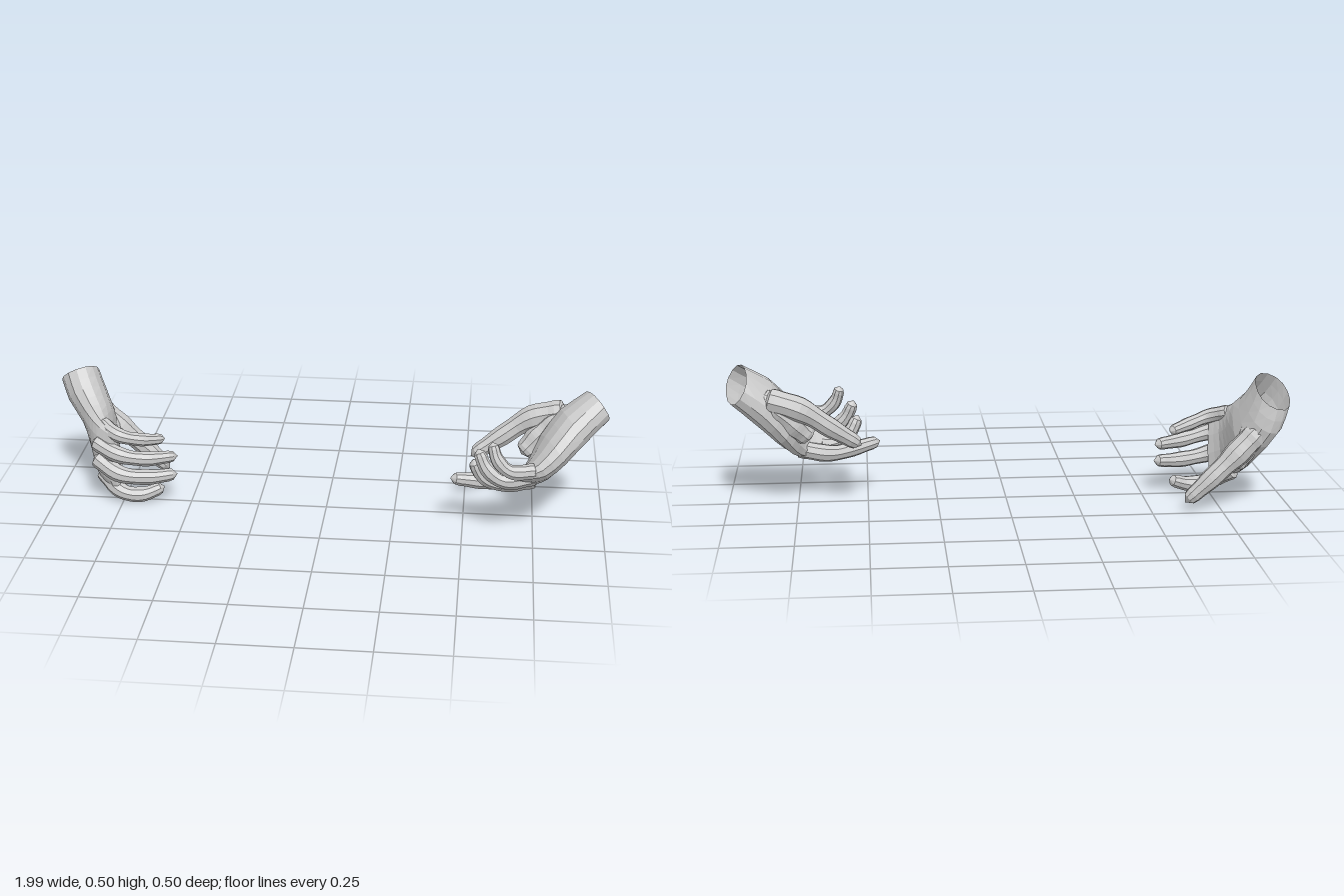
import * as THREE from 'three';

const V = (p) => new THREE.Vector3(...p);
const material = new THREE.MeshStandardMaterial({
  color: 0xcccccc, flatShading: true, side: THREE.DoubleSide,
});

// Skin a list of rings { c, u, v }: centre plus two half-axes, in order along the limb.
function loft(name, rings, sides, power = 1) {
  const pos = [], index = [];
  const bend = (k) => Math.sign(k) * Math.abs(k) ** power;
  for (const { c, u, v } of rings) {
    for (let j = 0; j < sides; j++) {
      const a = (j / sides) * Math.PI * 2;
      const p = c.clone().addScaledVector(u, bend(Math.cos(a))).addScaledVector(v, bend(Math.sin(a)));
      pos.push(p.x, p.y, p.z);
    }
  }
  for (let i = 0; i < rings.length - 1; i++) {
    for (let j = 0; j < sides; j++) {
      const a = i * sides + j, b = i * sides + (j + 1) % sides;
      index.push(a, b, b + sides, a, b + sides, a + sides);
    }
  }
  const g = new THREE.BufferGeometry();
  g.setAttribute('position', new THREE.Float32BufferAttribute(pos, 3));
  g.setIndex(index);
  g.computeVertexNormals();
  const mesh = new THREE.Mesh(g, material);
  mesh.name = name;
  return mesh;
}

// Piecewise-linear value of a list at t in 0..1
function sample(list, t) {
  const s = t * (list.length - 1), k = Math.min(Math.floor(s), list.length - 2);
  return THREE.MathUtils.lerp(list[k], list[k + 1], s - k);
}

// Tapered digit through its joints, swelling slightly at each, with rounded ends.
function digit(name, joints, radii) {
  const curve = new THREE.CatmullRomCurve3(joints.map(V));
  const steps = 18;
  const frames = curve.computeFrenetFrames(steps);
  const rings = [];
  for (let i = 0; i <= steps; i++) {
    const t = i / steps;
    const e = Math.max(0, (t - 0.87) / 0.13, (0.1 - t) / 0.1);
    const r = sample(radii, t) * (1 + 0.05 * Math.cos(t * Math.PI * 6)) * Math.sqrt(Math.max(0, 1 - e * e));
    rings.push({
      c: curve.getPointAt(t),
      u: frames.normals[i].clone().multiplyScalar(r),
      v: frames.binormals[i].clone().multiplyScalar(r),
    });
  }
  return loft(name, rings, 9);
}

// Wrist and palm between the little-finger edge and the thumb edge, open at the wrist.
function palm(outer, inner, thickness, facing) {
  const a = new THREE.CatmullRomCurve3(outer.map(V));
  const b = new THREE.CatmullRomCurve3(inner.map(V));
  const rings = [], steps = 10;
  for (let i = 0; i <= steps; i++) {
    const t = i / steps, P = a.getPoint(t), Q = b.getPoint(t);
    const c = P.clone().add(Q).multiplyScalar(0.5);
    const u = P.clone().sub(Q).multiplyScalar(0.5);
    const v = V(facing).projectOnPlane(u.clone().normalize()).setLength(sample(thickness, t));
    rings.push({ c, u, v });
  }
  // Turn the sections so that the skin faces outward
  const along = rings[steps].c.clone().sub(rings[0].c);
  if (rings[0].u.clone().cross(rings[0].v).dot(along) < 0) rings.forEach((r) => r.v.negate());
  // Close the knuckle end
  const last = rings[steps];
  const tip = last.c.clone().add(last.c.clone().sub(rings[steps - 1].c).setLength(0.01));
  rings.push({ c: tip, u: last.u.clone().multiplyScalar(0.85), v: last.v.clone().multiplyScalar(0.5) });
  rings.push({ c: tip, u: new THREE.Vector3(), v: new THREE.Vector3() });
  return loft('palm', rings, 14, 0.9);
}

function hand(name, d) {
  const g = new THREE.Group();
  g.name = name;
  g.add(palm(d.outer, d.inner, d.thickness, d.facing));
  g.add(digit('thumb', d.thumb, [0.05, 0.044, 0.035, 0.028]));
  g.add(digit('thumbWeb', d.thumbWeb, [0.05, 0.05, 0.038]));
  const sizes = { indexFinger: 1, middleFinger: 1, ringFinger: 0.95, littleFinger: 0.85 };
  for (const [finger, k] of Object.entries(sizes)) {
    g.add(digit(finger, d[finger], [0.036, 0.031, 0.028, 0.024].map((r) => r * k)));
  }
  return g;
}

export function createModel() {
  const model = new THREE.Group();
  model.name = 'pairOfHands';

  // Hand hanging down, palm turned inward
  model.add(hand('rightHand', {
    facing: [0.85, 0.1, -0.5],
    thickness: [0.07, 0.071, 0.06, 0.046, 0.036, 0.027],
    outer: [[-0.93, 0.467, -0.1], [-0.9, 0.405, -0.06], [-0.862, 0.357, -0.02], [-0.83, 0.33, 0.015], [-0.805, 0.315, 0.04], [-0.77, 0.298, 0.06]],
    inner: [[-0.935, 0.37, -0.24], [-0.91, 0.285, -0.246], [-0.85, 0.18, -0.2], [-0.838, 0.105, -0.1], [-0.82, 0.072, -0.01], [-0.77, 0.045, 0.03]],
    thumb: [[-0.89, 0.29, -0.195], [-0.79, 0.19, -0.208], [-0.71, 0.115, -0.216], [-0.62, 0.03, -0.212]],
    thumbWeb: [[-0.9, 0.33, -0.17], [-0.85, 0.235, -0.175], [-0.805, 0.14, -0.155]],
    indexFinger: [[-0.84, 0.1, -0.035], [-0.75, 0.04, 0.025], [-0.68, 0.03, 0.02], [-0.6, 0.055, -0.005]],
    middleFinger: [[-0.85, 0.18, 0.025], [-0.75, 0.13, 0.065], [-0.65, 0.115, 0.05], [-0.545, 0.12, 0.02]],
    ringFinger: [[-0.85, 0.245, 0.03], [-0.75, 0.21, 0.072], [-0.66, 0.19, 0.055], [-0.545, 0.185, 0.005]],
    littleFinger: [[-0.825, 0.305, 0.0], [-0.75, 0.277, 0.05], [-0.675, 0.255, 0.03], [-0.595, 0.24, -0.02]],
  }));

  // Hand reaching out, palm turned upward
  model.add(hand('leftHand', {
    facing: [-0.55, 0.6, -0.4],
    thickness: [0.062, 0.07, 0.062, 0.048, 0.036, 0.026],
    outer: [[0.975, 0.475, 0.085], [0.89, 0.407, 0.153], [0.828, 0.345, 0.21], [0.77, 0.295, 0.237], [0.73, 0.28, 0.238], [0.685, 0.277, 0.235]],
    inner: [[0.94, 0.41, -0.095], [0.86, 0.345, -0.095], [0.785, 0.255, -0.075], [0.75, 0.195, -0.02], [0.72, 0.165, 0.03], [0.675, 0.155, 0.05]],
    thumb: [[0.86, 0.4, -0.05], [0.73, 0.36, -0.065], [0.63, 0.292, -0.055], [0.52, 0.217, -0.032]],
    thumbWeb: [[0.88, 0.4, -0.03], [0.8, 0.34, -0.04], [0.7, 0.24, -0.015]],
    indexFinger: [[0.76, 0.19, 0.055], [0.63, 0.165, 0.063], [0.55, 0.175, 0.085], [0.452, 0.195, 0.115]],
    middleFinger: [[0.76, 0.21, 0.12], [0.63, 0.188, 0.125], [0.565, 0.22, 0.135], [0.53, 0.285, 0.145]],
    ringFinger: [[0.76, 0.245, 0.17], [0.64, 0.225, 0.185], [0.58, 0.265, 0.18], [0.545, 0.335, 0.165]],
    littleFinger: [[0.755, 0.28, 0.21], [0.66, 0.28, 0.225], [0.615, 0.32, 0.22], [0.595, 0.38, 0.205]],
  }));
  return model;
}
